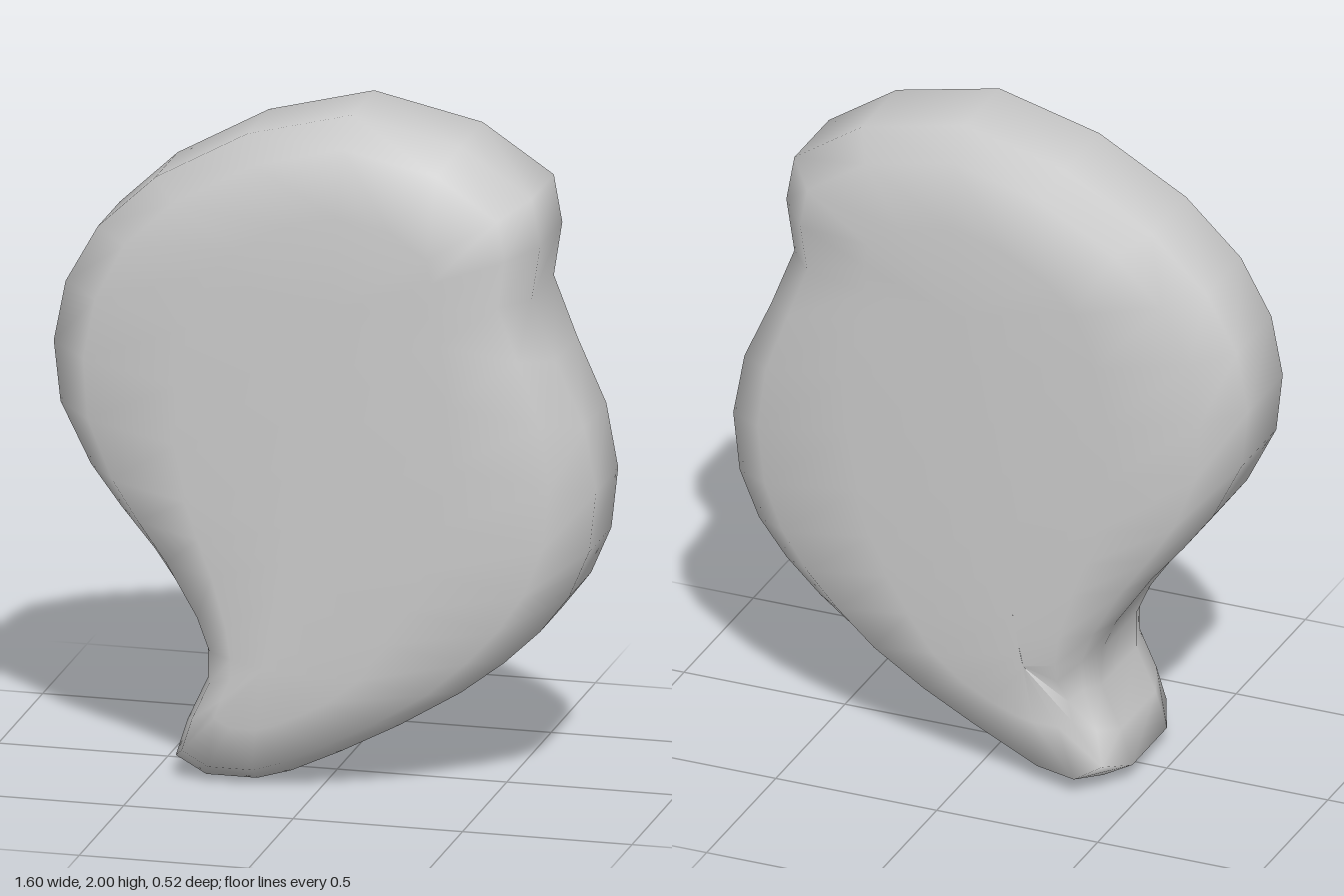
import * as THREE from 'three';

// Outline seen from the front, clockwise from the top
const outline = [
  [0.08, 2], [0.4, 1.93], [0.61, 1.79], [0.635, 1.65], [0.61, 1.49], [0.68, 1.31], [0.765, 1.12], [0.8, 0.93],
  [0.78, 0.75], [0.72, 0.61], [0.635, 0.5], [0.53, 0.4], [0.4, 0.3], [0.22, 0.19], [0.05, 0.1], [-0.1, 0.03],
  [-0.2, 0], [-0.35, 0], [-0.44, 0.05], [-0.405, 0.16], [-0.345, 0.29], [-0.345, 0.4], [-0.39, 0.5], [-0.5, 0.66],
  [-0.6, 0.78], [-0.69, 0.9], [-0.78, 1.08], [-0.8, 1.26], [-0.765, 1.44], [-0.67, 1.61], [-0.5, 1.77], [-0.23, 1.92],
].map(([x, y]) => new THREE.Vector3(x, y, 0));

// Rings from front to back: share of the way in to the spine, and depth
const rings = [
  [1, 0.26], [0.5, 0.26], [0.14, 0.23], [0, 0.14],
  [0, -0.11], [0.14, -0.2], [0.5, -0.23], [1, -0.23],
];

const spine = new THREE.Line3(new THREE.Vector3(-0.15, 0.36, 0), new THREE.Vector3(0.05, 1.45, 0));

const bump = (p, x, y, r) => Math.exp(-((p.x - x) ** 2 + (p.y - y) ** 2) / (r * r));

// Rounded slab: the outline is drawn in towards the spine on both faces
function slabGeometry() {
  const n = outline.length;
  const positions = [];
  const index = [];
  const near = new THREE.Vector3();
  rings.forEach(([inset, depth], i) => {
    outline.forEach((point, j) => {
      spine.closestPointToPoint(point, true, near);
      const p = point.clone().lerp(near, inset);
      let z = depth;
      // Knob on the back of the tip, with a shallow hollow above it
      if (depth < -0.15) z += 0.05 * bump(p, -0.25, 0.22, 0.12) - 0.065 * bump(p, -0.31, 0.06, 0.13);
      positions.push(p.x, p.y, z);
      if (i < rings.length - 1) {
        const a = i * n + j;
        const b = i * n + (j + 1) % n;
        index.push(a, b, a + n, b, b + n, a + n);
      }
    });
  });
  const geometry = new THREE.BufferGeometry();
  geometry.setAttribute('position', new THREE.Float32BufferAttribute(positions, 3));
  geometry.setIndex(index);
  geometry.computeVertexNormals();
  return geometry;
}

export function createModel() {
  const group = new THREE.Group();
  group.name = 'curvedSlab';
  const body = new THREE.Mesh(slabGeometry(), new THREE.MeshStandardMaterial({ color: 0xcccccc }));
  body.name = 'body';
  group.add(body);
  return group;
}
